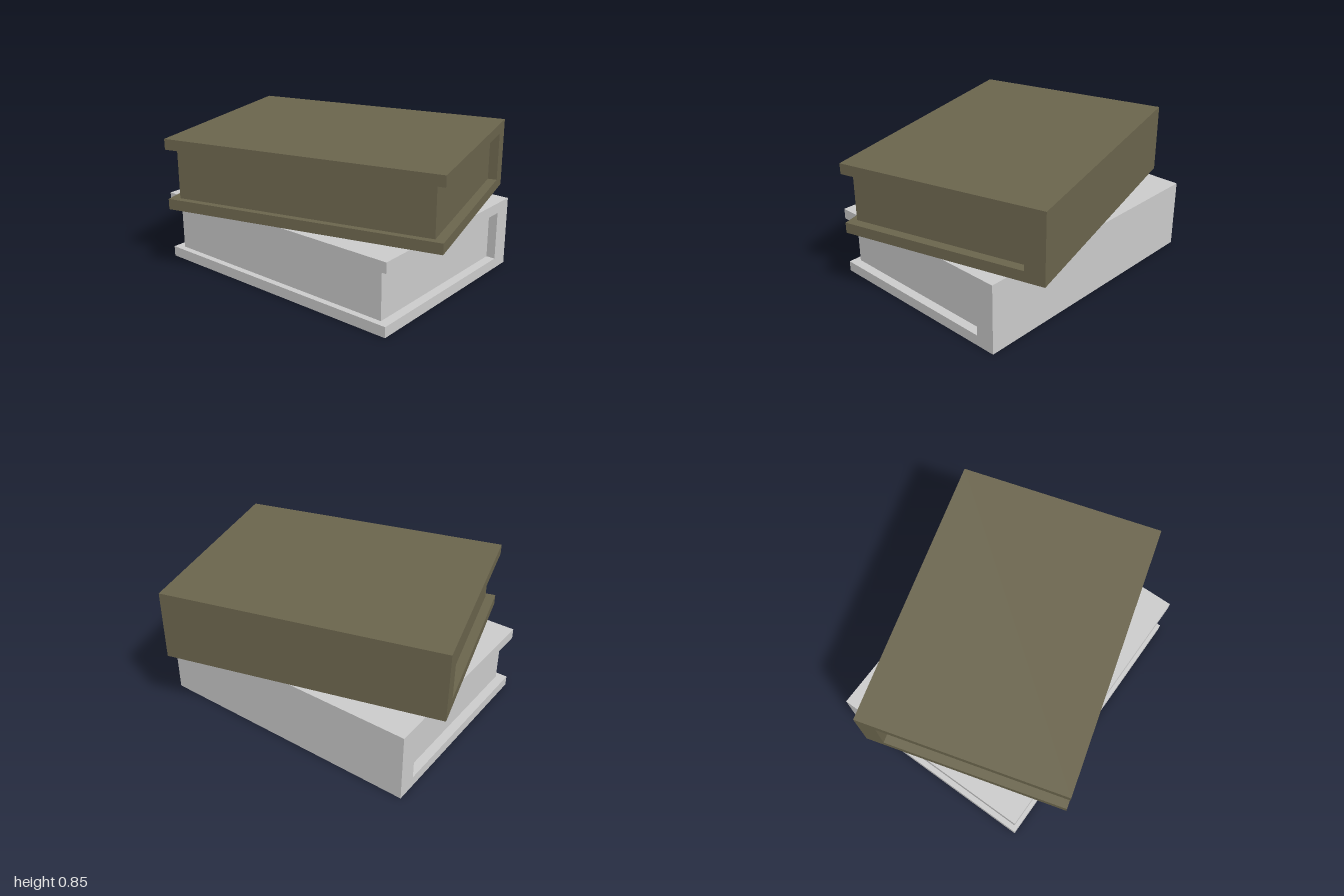
import * as THREE from 'three';

const W = 1.243, H = 0.427, D = 1.67;      // closed book size
const COVER = 0.064, SPINE = 0.119;        // board and spine thickness
const FORE = 0.038, END = 0.056;           // how far the pages sit inside the boards

// One book: a C-shaped cover (spine at +x) wrapped round a page block
function makeBook(name, color) {
  const book = new THREE.Group();
  book.name = name;
  const material = new THREE.MeshStandardMaterial({ color });

  const l = -W / 2, r = W / 2, inner = r - SPINE;
  const profile = new THREE.Shape([
    [l, 0], [r, 0], [r, H], [l, H],
    [l, H - COVER], [inner, H - COVER], [inner, COVER], [l, COVER],
  ].map(([x, y]) => new THREE.Vector2(x, y)));
  const coverGeometry = new THREE.ExtrudeGeometry(profile, { depth: D, bevelEnabled: false });
  coverGeometry.translate(0, 0, -D / 2);
  const cover = new THREE.Mesh(coverGeometry, material);
  cover.name = 'cover';

  const pageWidth = inner - l - FORE;
  const pages = new THREE.Mesh(
    new THREE.BoxGeometry(pageWidth, H - 2 * COVER, D - 2 * END), material);
  pages.position.set(inner - pageWidth / 2, H / 2, 0);
  pages.name = 'pages';

  book.add(cover, pages);
  return book;
}

export function createModel() {
  const model = new THREE.Group();
  model.name = 'bookStack';

  const lower = makeBook('lowerBook', 0xcccccc);
  lower.position.set(-0.008, 0, -0.032);
  lower.rotation.y = 0.081;

  const upper = makeBook('upperBook', 0x6b654d);
  upper.position.y = H;
  upper.rotation.y = 0.355;

  model.add(lower, upper);
  return model;
}
